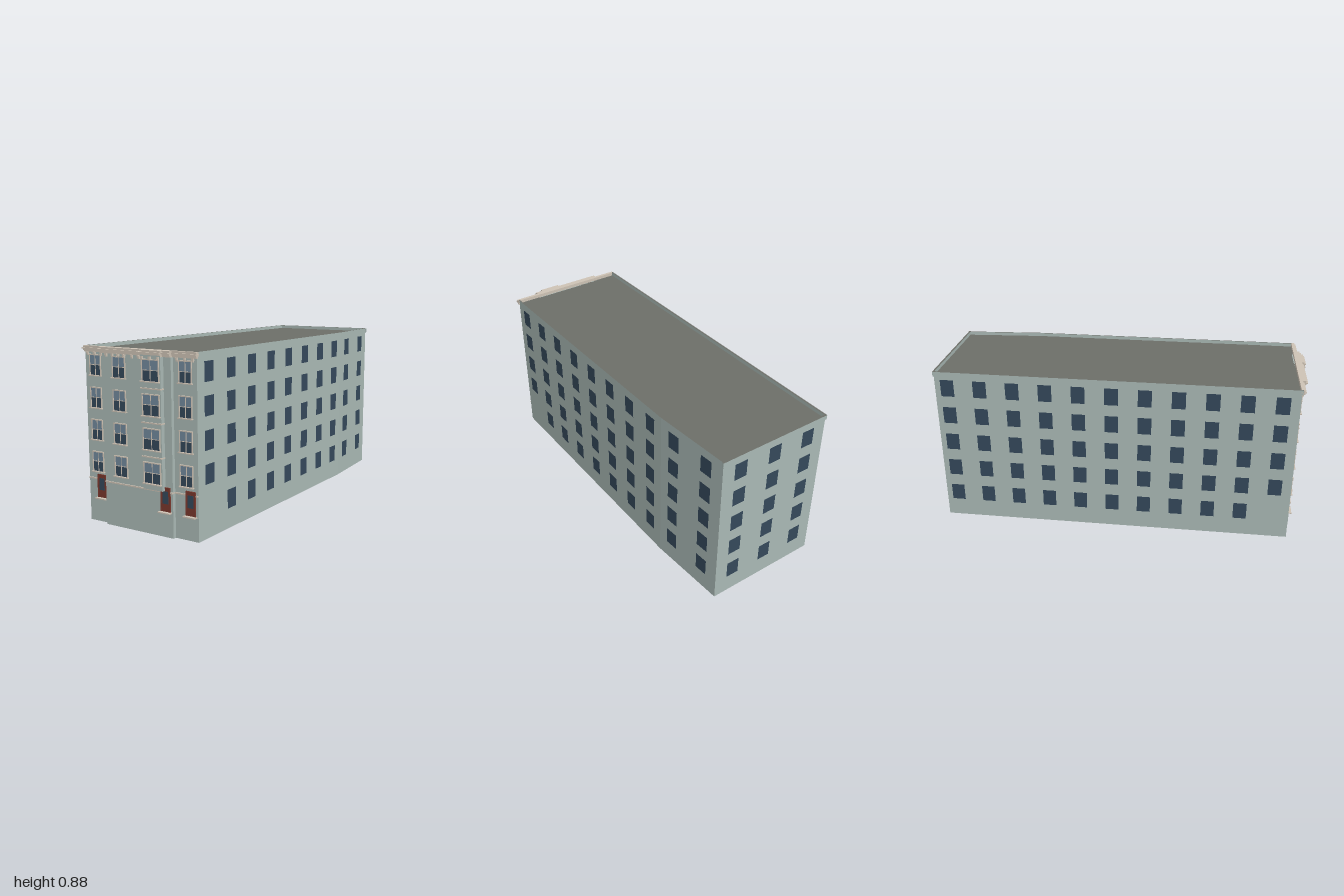
import * as THREE from 'three';

const mat = (color, side = THREE.FrontSide) => {
  const m = new THREE.MeshStandardMaterial({ side });
  m.color.set(color);
  return m;
};
const wallMat = mat(0xa9b8b4), roofMat = mat(0x6c6e68), trimMat = mat(0xcdc2b4);
const darkGlass = mat(0x34485a), lightGlass = mat(0x71889c), doorMat = mat(0x78372c);
const parapetMats = [wallMat, wallMat, roofMat, wallMat, wallMat, wallMat];

// footprint corners [x, z]
const FL = [-0.187, 0.975], FR = [0.469, 0.868], KINK = [0.239, -0.575];
const BR = [0.143, -0.994], BL = [-0.474, -0.9];
const ROOF = 0.857, TOP = 0.875;
const ROWS = [0.148, 0.308, 0.467, 0.626, 0.783]; // side window centre heights

// box from corner to corner
function box(parent, name, material, x0, x1, y0, y1, z0, z1) {
  const m = new THREE.Mesh(new THREE.BoxGeometry(x1 - x0, y1 - y0, z1 - z0), material);
  m.position.set((x0 + x1) / 2, (y0 + y1) / 2, (z0 + z1) / 2);
  m.name = name;
  parent.add(m);
  return m;
}

// group whose x runs along a wall and whose z points outwards
function wallFrame(root, name, a, b) {
  const g = new THREE.Group();
  const dx = b[0] - a[0], dz = b[1] - a[1];
  g.position.set(a[0], 0, a[1]);
  g.rotation.y = Math.atan2(-dz, dx);
  g.name = name;
  g.userData.length = Math.hypot(dx, dz);
  root.add(g);
  return g;
}

// flat dark windows at fractions along a wall
function sideWindows(g, fractions, noGround = -1) {
  fractions.forEach((t, i) => ROWS.forEach((y, row) => {
    if (row === 0 && i === noGround) return;
    const w = new THREE.Mesh(new THREE.PlaneGeometry(0.072, 0.094), darkGlass);
    w.position.set(t * g.userData.length, y, 0.0015);
    w.name = 'sideWindow';
    g.add(w);
  }));
}

function parapet(g, out) {
  box(g, 'parapet', parapetMats, -out, g.userData.length + out, 0.85, TOP, -0.005, out);
}

// sash window with frame, glazing bars and sill, on a wall plane at depth d
function sashWindow(g, u, w, y0, y1, d) {
  const win = new THREE.Group();
  win.name = 'sashWindow';
  win.position.set(u, 0, d);
  g.add(win);
  const h = w / 2, ym = (y0 + y1) / 2 + 0.001, t = 0.004;
  box(win, 'lowerPane', darkGlass, -h, h, y0, ym, -0.002, 0.001);
  box(win, 'upperPane', lightGlass, -h, h, ym, y1, -0.002, 0.002);
  for (const s of [-1, 1]) box(win, 'jamb', trimMat, s * h - t / 2, s * h + t / 2, y0, y1, 0, 0.006);
  box(win, 'mullion', trimMat, -0.0015, 0.0015, y0, y1, 0, 0.004);
  box(win, 'meetingRail', trimMat, -h, h, ym - 0.0015, ym + 0.0015, 0, 0.004);
  box(win, 'lintel', trimMat, -h - 0.003, h + 0.003, y1 - 0.002, y1 + 0.003, 0, 0.008);
  box(win, 'sill', trimMat, -h - 0.006, h + 0.006, y0 - 0.005, y0, 0, 0.012);
}

function door(g, u, y0, d) {
  const dr = new THREE.Group();
  dr.name = 'door';
  dr.position.set(u, y0, d);
  g.add(dr);
  box(dr, 'doorLeaf', doorMat, -0.027, 0.027, 0, 0.117, -0.002, 0.004);
  for (const s of [-1, 1]) box(dr, 'doorJamb', doorMat, s * 0.0255 - 0.002, s * 0.0255 + 0.002, 0, 0.117, 0, 0.007);
  box(dr, 'doorHead', doorMat, -0.0275, 0.0275, 0.112, 0.117, 0, 0.007);
  box(dr, 'doorGlass', darkGlass, -0.016, 0.016, 0.038, 0.098, 0, 0.0055);
  box(dr, 'doorStep', trimMat, -0.034, 0.034, -0.006, 0, 0, 0.022);
}

// stepped cornice over one section of the front
function cornice(g, u0, u1, d, e0, e1) {
  [[0.846, 0.853, 0.008], [0.853, 0.86, 0.014], [0.86, 0.866, 0.02], [0.866, TOP, 0.012]].forEach(([y0, y1, o]) =>
    box(g, 'cornice', trimMat, u0 - e0 * o, u1 + e1 * o, y0, y1, -0.005, d + o));
}

export function createModel() {
  const root = new THREE.Group();
  root.name = 'apartmentBlock';

  // main body
  const shape = new THREE.Shape([FL, FR, KINK, BR, BL].map(([x, z]) => new THREE.Vector2(x, -z)));
  const geo = new THREE.ExtrudeGeometry(shape, { depth: ROOF, bevelEnabled: false });
  geo.rotateX(-Math.PI / 2);
  const body = new THREE.Mesh(geo, [roofMat, wallMat]);
  body.name = 'body';
  root.add(body);

  // right wall in two runs, then back and left walls
  const right = wallFrame(root, 'rightWall', FR, KINK);
  const zs = [0.78, 0.6, 0.42, 0.237, 0.056, -0.124, -0.305, -0.486];
  sideWindows(right, zs.map(z => (FR[1] - z) / (FR[1] - KINK[1])), 0);
  parapet(right, 0.001);
  const rear = wallFrame(root, 'rightRearWall', KINK, BR);
  sideWindows(rear, [-0.667, -0.888].map(z => (KINK[1] - z) / (KINK[1] - BR[1])));
  parapet(rear, 0.001);
  const back = wallFrame(root, 'backWall', BR, BL);
  sideWindows(back, [0.17, 0.5, 0.83]);
  parapet(back, 0.005);
  const left = wallFrame(root, 'leftWall', BL, FL);
  const cols = Array.from({ length: 11 }, (_, i) => (-0.464 + i * 0.0264 - BL[0]) / (FL[0] - BL[0]));
  sideWindows(left, cols, 10);
  parapet(left, 0.005);

  // front: centre section and bay step forward
  const front = wallFrame(root, 'front', FL, FR);
  const L = front.userData.length, a = front.rotation.y;
  const U = (x, d) => (x - FL[0] - d * Math.sin(a)) / Math.cos(a);
  const D = 0.018, BAY = 0.04;
  const c0 = U(-0.063, D), c1 = U(0.342, D), b0 = U(0.191, BAY), b1 = U(0.304, BAY);
  box(front, 'centreWall', wallMat, c0, c1, 0, ROOF, -0.01, D);
  box(front, 'bay', wallMat, b0, b1, 0.225, ROOF, 0, BAY);

  // window columns: centre x, width, depth
  const columns = [[-0.125, 0.068, 0], [0.04, 0.076, D], [0.248, 0.097, BAY], [0.406, 0.07, 0]];
  for (const [x, w, d] of columns)
    for (const y of [0.256, 0.416, 0.575, 0.734]) sashWindow(front, U(x, d), w, y, y + 0.098, d);

  // bay string mouldings
  for (const y of [0.378, 0.538, 0.697])
    box(front, 'bayMoulding', trimMat, b0 - 0.001, b1 + 0.003, y, y + 0.006, 0, BAY + 0.006);

  // doors
  door(front, U(-0.105, 0), 0.125, 0);
  door(front, U(0.302, D), 0.125, D);
  door(front, U(0.428, 0), 0.12, 0);

  // belt course, broken at the doors
  for (const [x0, x1, d] of [[-0.187, -0.133, 0], [-0.078, -0.063, 0], [-0.063, 0.275, D], [0.329, 0.342, D], [0.342, 0.4, 0], [0.456, 0.469, 0]])
    box(front, 'beltCourse', trimMat, U(x0, d), U(x1, d), 0.215, 0.222, -0.002, d + 0.006);

  // cornices and brackets
  cornice(front, 0, c0, 0, 0.25, 0);
  cornice(front, c0, c1, D, 0.2, 0.2);
  cornice(front, c1, L, 0, 0, 0.4);
  cornice(front, b0, b1, BAY - 0.008, 0.1, 0.1);
  const brackets = [[-0.168, 0], [-0.125, 0], [-0.081, 0], [-0.033, D], [0.005, D], [0.04, D], [0.076, D], [0.123, D], [0.163, D],
    [0.203, BAY], [0.248, BAY], [0.294, BAY], [0.362, 0], [0.406, 0], [0.45, 0]];
  for (const [x, d] of brackets) {
    const u = U(x, d);
    box(front, 'bracket', trimMat, u - 0.005, u + 0.005, 0.836, 0.847, d - 0.002, d + 0.011);
    box(front, 'bracketFoot', trimMat, u - 0.004, u + 0.004, 0.829, 0.836, d - 0.002, d + 0.007);
  }
  return root;
}
